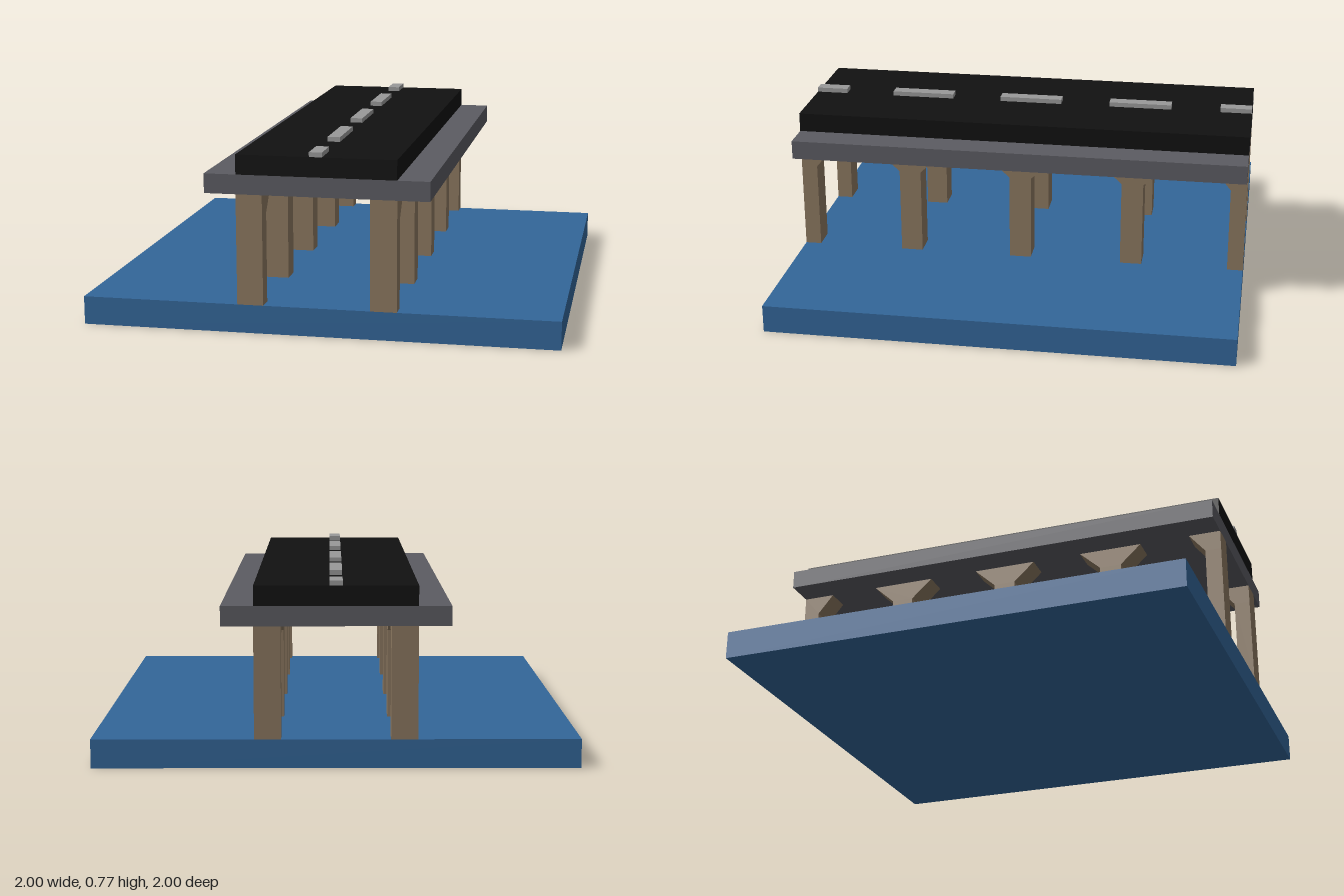
import * as THREE from 'three';

export function createModel() {
  const model = new THREE.Group();
  const mat = (color) => new THREE.MeshStandardMaterial({ color });
  const water = mat(0x336699), concrete = mat(0x5c5c62), asphalt = mat(0x111111);
  const paint = mat(0x999999), stone = mat(0x8c7860);

  // Box given by half width, bottom, top and z range
  function slab(name, material, halfWidth, y0, y1, z0 = -1, z1 = 1) {
    const mesh = new THREE.Mesh(new THREE.BoxGeometry(halfWidth * 2, y1 - y0, z1 - z0), material);
    mesh.position.set(0, (y0 + y1) / 2, (z0 + z1) / 2);
    mesh.name = name;
    model.add(mesh);
  }

  slab('waterBase', water, 1, 0, 0.12);
  slab('deck', concrete, 0.467, 0.585, 0.667);
  slab('road', asphalt, 0.333, 0.667, 0.75);

  // Pillar profile in (z, y), extruded across x; its head flares along the road
  function pillarGeometry(back, front, flareBack, flareFront) {
    const shape = new THREE.Shape([
      [back, 0.12], [front, 0.12], [front, 0.5], [flareFront, 0.585],
      [flareBack, 0.585], [back, 0.5],
    ].map(([z, y]) => new THREE.Vector2(z, y)));
    const width = 0.11;
    return new THREE.ExtrudeGeometry(shape, { depth: width, bevelEnabled: false })
      .rotateY(-Math.PI / 2).translate(width / 2, 0, 0);
  }

  for (const z of [-1, -0.5, 0, 0.5, 1]) {
    // Dashes and pillars at the two ends are cut flush with the deck
    const clip = (v) => THREE.MathUtils.clamp(v, -1, 1);
    slab('laneDash', paint, 0.027, 0.75, 0.77, clip(z - 0.14), clip(z + 0.14));

    const stem = Math.abs(z) === 1 ? 0.07 : 0.048;
    const geometry = pillarGeometry(clip(z - stem), clip(z + stem), clip(z - 0.14), clip(z + 0.14));
    for (const side of [-1, 1]) {
      const pillar = new THREE.Mesh(geometry, stone);
      pillar.position.x = side * 0.279;
      pillar.name = side > 0 ? 'leftPillar' : 'rightPillar';
      model.add(pillar);
    }
  }
  return model;
}
